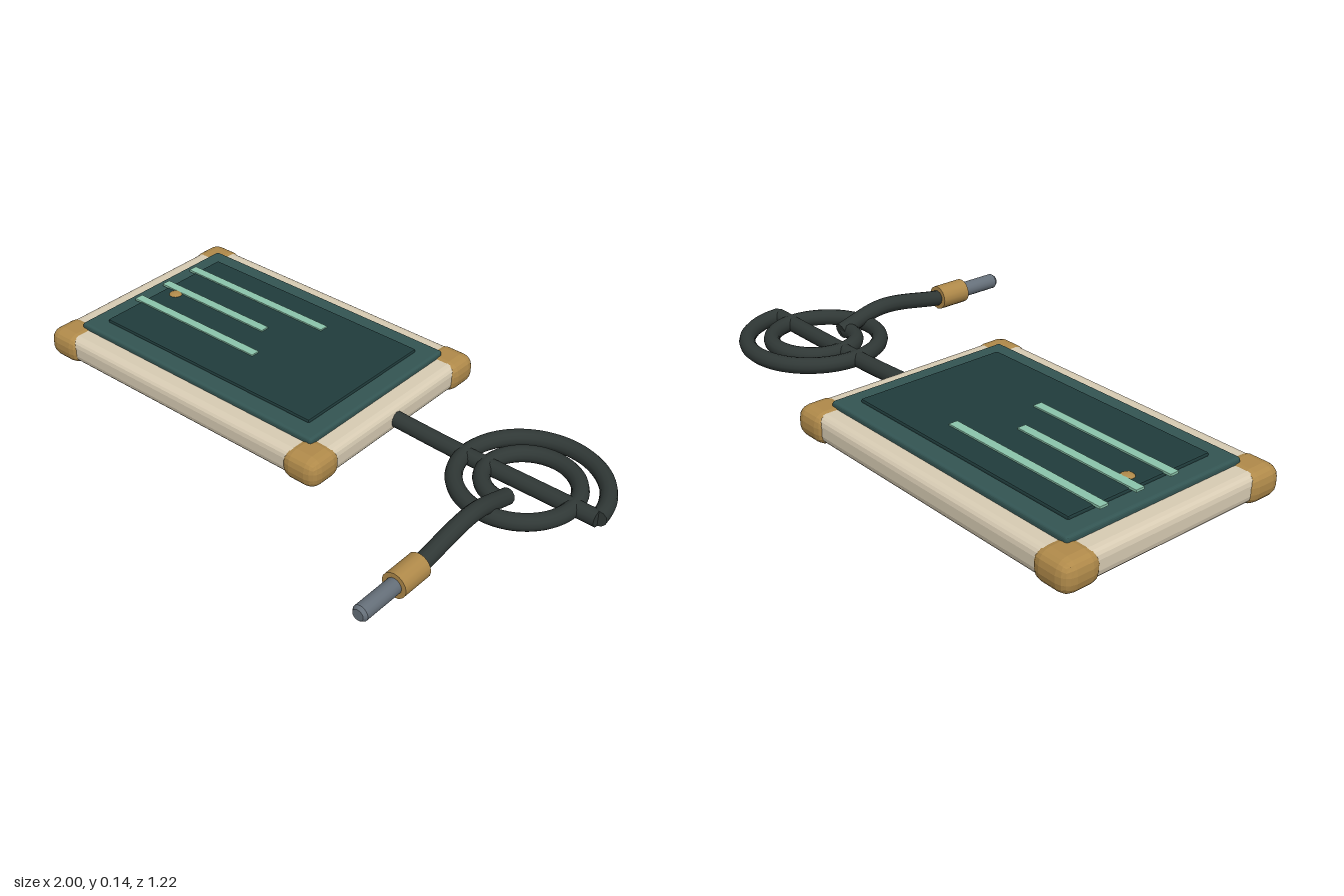
import * as THREE from 'three';
import { RoundedBoxGeometry } from 'three/addons/geometries/RoundedBoxGeometry.js';

const mat = (color, flatShading = false) => new THREE.MeshStandardMaterial({ color, flatShading });
const CREAM = mat(0xd8ccb4, true), BRASS = mat(0xb08a4a, true), TEAL = mat(0x335553, true);
const SCREEN = mat(0x203c3c, true), MINT = mat(0x8cc5ac), CABLE = mat(0x303836), STEEL = mat(0x66707a);
const BRASS_SMOOTH = mat(0xb08a4a);

export function createModel() {
  const model = new THREE.Group();
  const add = (name, geometry, material, x = 0, y = 0, z = 0) => {
    const mesh = new THREE.Mesh(geometry, material);
    mesh.name = name;
    mesh.position.set(x, y, z);
    model.add(mesh);
    return mesh;
  };
  // Box with softened edges, given by its extents
  const slab = (name, [x0, x1], [y0, y1], [z0, z1], radius, segments, material) =>
    add(name, new RoundedBoxGeometry(x1 - x0, y1 - y0, z1 - z0, segments, radius), material,
      (x0 + x1) / 2, (y0 + y1) / 2, (z0 + z1) / 2);

  // Tablet body, bezel and screen
  slab('body', [-0.99, 0.215], [0.01, 0.103], [-0.6, 0.225], 0.03, 2, CREAM);
  slab('bezel', [-0.915, 0.14], [0.09, 0.122], [-0.53, 0.15], 0.01, 2, TEAL);
  slab('screen', [-0.85, 0.075], [0.11, 0.133], [-0.465, 0.085], 0.006, 1, SCREEN);

  // Corner bumpers
  for (const [i, x] of [-0.927, 0.152].entries())
    for (const [j, z] of [-0.54, 0.165].entries()) {
      const name = (j ? 'front' : 'back') + (i ? 'Left' : 'Right') + 'Bumper';
      add(name, new RoundedBoxGeometry(0.146, 0.106, 0.142, 2, 0.042), BRASS, x, 0.053, z);
    }

  // Display lines and the round marker
  [[-0.24, -0.357], [-0.39, -0.22], [-0.31, -0.085]].forEach(([end, z], i) => {
    const length = end + 0.875;
    add('displayLine' + (i + 1), new THREE.BoxGeometry(length, 0.008, 0.032), MINT, end - length / 2, 0.134, z);
  });
  add('marker', new THREE.SphereGeometry(0.024, 16, 10), BRASS_SMOOTH, -0.795, 0.131, -0.19).scale.y = 0.4;

  // Cable: a lead from the body, a flat spiral coil and an arched lead to the plug
  const V = (x, y, z) => new THREE.Vector3(x, y, z);
  const cx = 0.706, cz = -0.19, r = 0.028;
  const cable = (name, points, segments) => {
    const curve = new THREE.CatmullRomCurve3(points);
    add(name, new THREE.TubeGeometry(curve, segments, r, 12), CABLE);
    // Flat caps close both ends
    for (const t of [0, 1]) {
      const cap = add(name + (t ? 'EndCap' : 'StartCap'), new THREE.CircleGeometry(r, 12), CABLE);
      cap.position.copy(curve.getPointAt(t));
      cap.quaternion.setFromUnitVectors(V(0, 0, 1), curve.getTangentAt(t).multiplyScalar(t ? 1 : -1));
    }
  };
  cable('bodyLead', [V(0.18, 0.056, cz), V(0.45, 0.046, cz), V(0.7, 0.046, cz), V(0.97, 0.046, cz)], 24);
  const coil = [];
  for (let i = 0; i <= 56; i++) {
    const turn = i / 32, angle = turn * Math.PI * 2, radius = 0.264 - 0.085 * turn;
    coil.push(V(cx + radius * Math.cos(angle), 0.047, cz - radius * Math.sin(angle)));
  }
  cable('coil', coil, 140);
  cable('plugLead', [V(cx, 0.048, -0.1), V(cx, 0.093, 0.08), V(cx, 0.06, 0.335)], 32);

  // Plug: brass ferrule and steel tip with a chamfered nose
  const ferrule = add('ferrule', new THREE.CylinderGeometry(0.043, 0.043, 0.114, 16), BRASS_SMOOTH, cx, 0.061, 0.393);
  ferrule.rotation.x = Math.PI / 2;
  const tip = [[0, 0.42], [0.027, 0.42], [0.027, 0.597], [0.027, 0.597], [0.019, 0.608], [0.019, 0.608], [0, 0.608]];
  const plug = add('plugTip', new THREE.LatheGeometry(tip.map(([x, y]) => new THREE.Vector2(x, y)), 16), STEEL, cx, 0.061, 0);
  plug.rotation.x = Math.PI / 2;

  return model;
}
